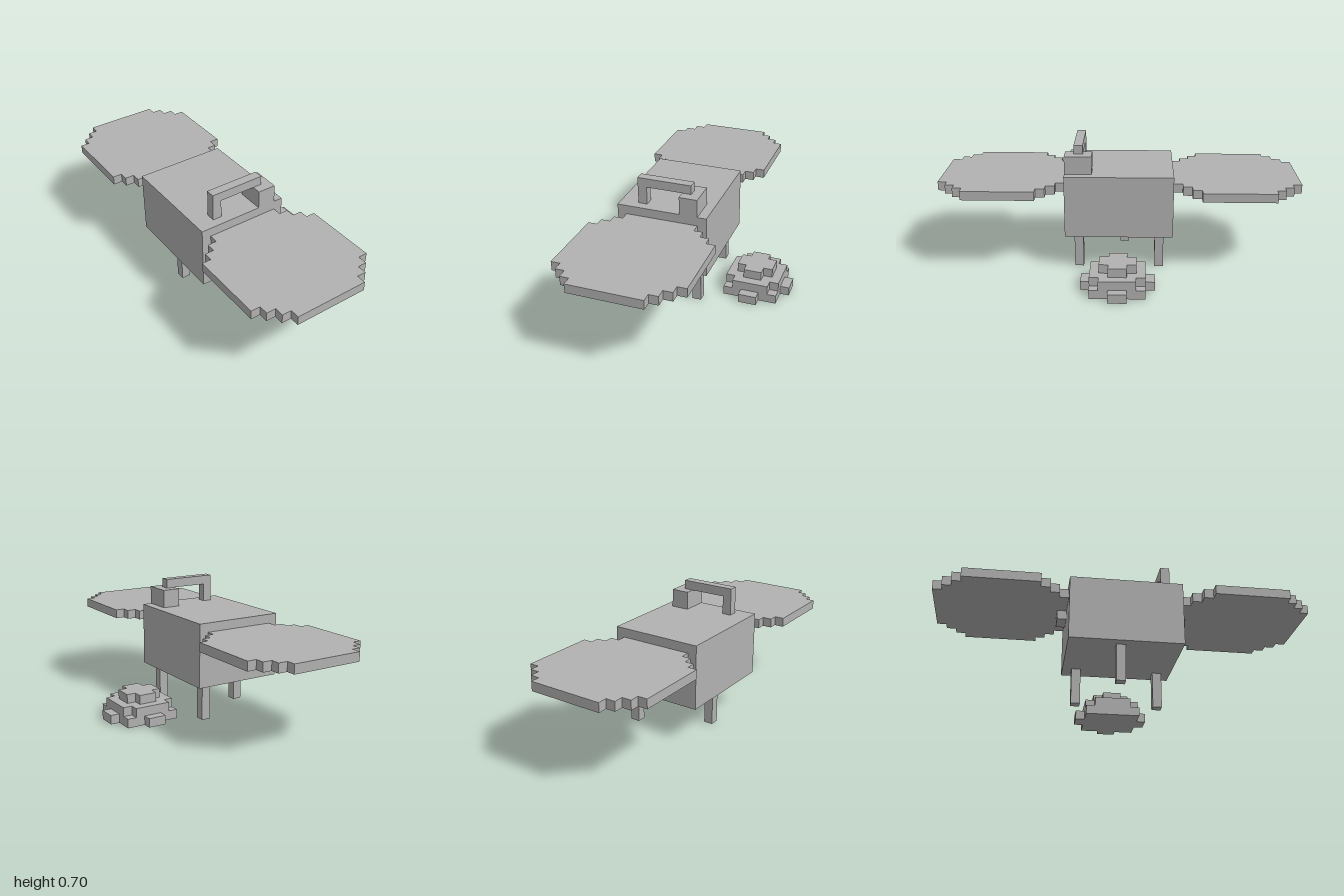
import * as THREE from 'three';

const U = 0.05; // size of one block step

export function createModel() {
  const model = new THREE.Group();
  model.name = 'blockFlyer';
  const grey = new THREE.MeshStandardMaterial({ color: 0xb2b2b2 });
  grey.name = 'plain grey';

  const add = (name, geometry, parent = model) => {
    const mesh = new THREE.Mesh(geometry, grey);
    mesh.name = name;
    parent.add(mesh);
    return mesh;
  };

  // Box given by its min and max corners
  const box = (name, [x0, y0, z0], [x1, y1, z1], parent) =>
    add(name, new THREE.BoxGeometry(x1 - x0, y1 - y0, z1 - z0), parent)
      .position.set((x0 + x1) / 2, (y0 + y1) / 2, (z0 + z1) / 2);

  // Square plate one step thick whose corners are cut as stairs
  const steppedPlate = (name, half, steps, x, y, z, parent) => {
    const points = [];
    for (let quarter = 0; quarter < 4; quarter++) {
      const turn = quarter * Math.PI / 2;
      const put = (a, b) => points.push(
        new THREE.Vector2(a, b).rotateAround(new THREE.Vector2(), turn));
      for (let i = 0; i <= steps; i++) {
        put(half - i * U, half - (steps - i) * U);
        if (i < steps) put(half - (i + 1) * U, half - (steps - i) * U);
      }
    }
    const geometry = new THREE.ExtrudeGeometry(new THREE.Shape(points),
      { depth: U, bevelEnabled: false });
    geometry.rotateX(-Math.PI / 2);
    add(name, geometry, parent).position.set(x, y, z);
  };

  box('body', [-0.3, 0.2, -0.1], [0.3, 0.55, 0.4]);

  // One leg in the middle of the front, two at the back
  box('frontLeg', [-0.05, 0, 0.3], [0, 0.2, 0.35]);
  box('backLegRight', [-0.25, 0, -0.05], [-0.2, 0.2, 0]);
  box('backLegLeft', [0.2, 0, -0.05], [0.25, 0.2, 0]);

  // Round stepped wings, each with a small bracket beneath
  for (const [side, s] of [['Left', 1], ['Right', -1]]) {
    steppedPlate('wing' + side, 0.35, 3, s * 0.65, 0.45, 0.15);
    const x = s > 0 ? 0.3 : -0.35;
    box('wingBracket' + side, [x, 0.4, 0.1], [x + U, 0.45, 0.2]);
  }

  // Pipe running from a block on the roof forward and down
  const pipe = new THREE.Group();
  pipe.name = 'roofPipe';
  model.add(pipe);
  box('pipeBase', [0.15, 0.55, -0.05], [0.3, 0.65, 0.05], pipe);
  box('pipeTop', [0.2, 0.65, 0], [0.25, 0.7, 0.3], pipe);
  box('pipeFront', [0.2, 0.55, 0.25], [0.25, 0.65, 0.3], pipe);

  // Tiered pile on the ground behind
  const pile = new THREE.Group();
  pile.name = 'pile';
  model.add(pile);
  box('pileBase', [-0.15, 0, -0.45], [0.15, U, -0.15], pile);
  box('pileBumpLeft', [0.15, 0, -0.35], [0.2, U, -0.25], pile);
  box('pileBumpRight', [-0.2, 0, -0.35], [-0.15, U, -0.25], pile);
  box('pileBumpBack', [-0.05, 0, -0.5], [0.05, U, -0.45], pile);
  steppedPlate('pileMiddle', 0.15, 1, 0, U, -0.3, pile);
  steppedPlate('pileTop', 0.1, 1, 0, 2 * U, -0.3, pile);

  return model;
}
